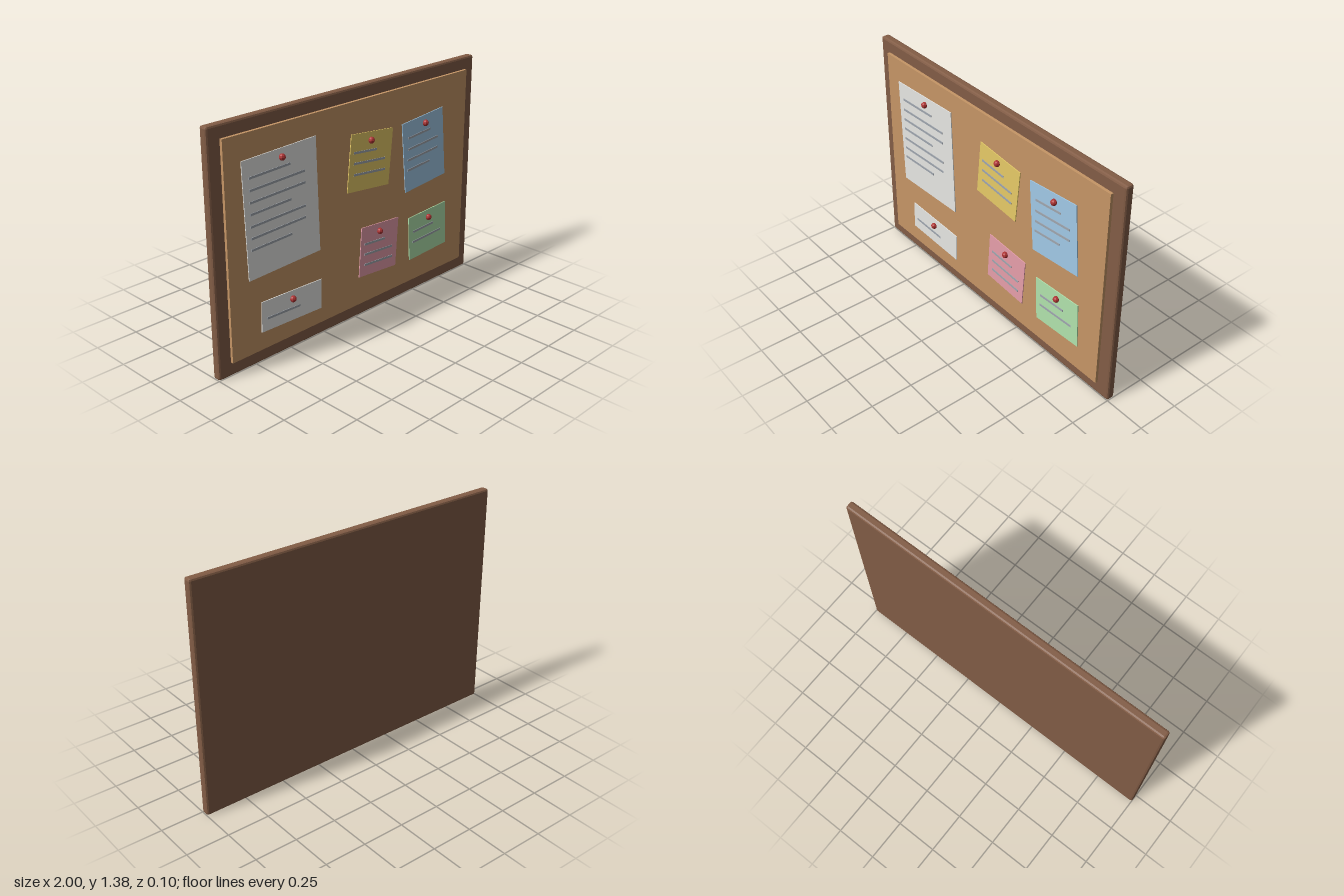
import * as THREE from 'three';
import { RoundedBoxGeometry } from 'three/addons/geometries/RoundedBoxGeometry.js';

const material = (name, color, flatShading = false) => {
  const m = new THREE.MeshStandardMaterial({ color, flatShading });
  m.name = name;
  return m;
};

export function createModel() {
  const wood = material('brown wood', 0x835d46, true);
  const cork = material('cork', 0xc69666);
  const white = material('white paper', 0xf2f2ef);
  const yellow = material('yellow paper', 0xf0d36c);
  const blue = material('blue paper', 0xacd6f5);
  const pink = material('pink paper', 0xf0a5b2);
  const green = material('green paper', 0xb2e4ae);
  const ink = material('grey ink', 0xa1a7b0);
  const red = material('red pin', 0xb03434, true);

  const board = new THREE.Group();
  board.name = 'noticeBoard';

  const add = (parent, name, geometry, mat, x, y, z, turn = 0) => {
    const mesh = new THREE.Mesh(geometry, mat);
    mesh.name = name;
    mesh.position.set(x, y, z);
    mesh.rotation.z = turn;
    parent.add(mesh);
  };

  // Bevelled wooden backing with the raised cork sheet on its front
  add(board, 'frame', new RoundedBoxGeometry(2, 1.375, 0.05, 1, 0.012), wood, 0, 0.6875, -0.023);
  add(board, 'corkSheet', new THREE.BoxGeometry(1.84, 1.22, 0.03), cork, 0, 0.691, 0.004);

  // A tilted sheet, its rows of writing and the pin that holds it
  const pinGeometry = new THREE.SphereGeometry(0.019, 8, 6);
  const addNote = (name, mat, x, y, width, height, turn, rows) => {
    const note = new THREE.Group();
    note.name = name;
    note.position.set(x, y, 0);
    board.add(note);
    add(note, 'sheet', new THREE.BoxGeometry(width, height, 0.005), mat, 0, 0, 0.0215, turn);
    for (let i = 0; i < rows; i++) {
      const length = width * (i % 3 === 0 ? 0.55 : 0.75);
      add(note, 'writingLine', new THREE.BoxGeometry(length, 0.013, 0.004), ink,
        -width / 2 + 0.033 + length / 2, height / 2 - 0.102 - i * 0.065, 0.0245, turn);
    }
    add(note, 'pin', pinGeometry, red, 0, height / 2 - 0.047, 0.03);
  };

  addNote('largeNotice', white, -0.553, 0.844, 0.5, 0.655, 0.033, 7);
  addNote('smallCard', white, -0.503, 0.267, 0.43, 0.176, -0.03, 1);
  addNote('yellowNote', yellow, 0.097, 0.942, 0.33, 0.33, -0.1, 3);
  addNote('blueNote', blue, 0.548, 0.893, 0.35, 0.424, 0.09, 4);
  addNote('pinkNote', pink, 0.172, 0.393, 0.305, 0.3, -0.07, 3);
  addNote('greenNote', green, 0.598, 0.366, 0.33, 0.275, 0.05, 2);

  return board;
}
